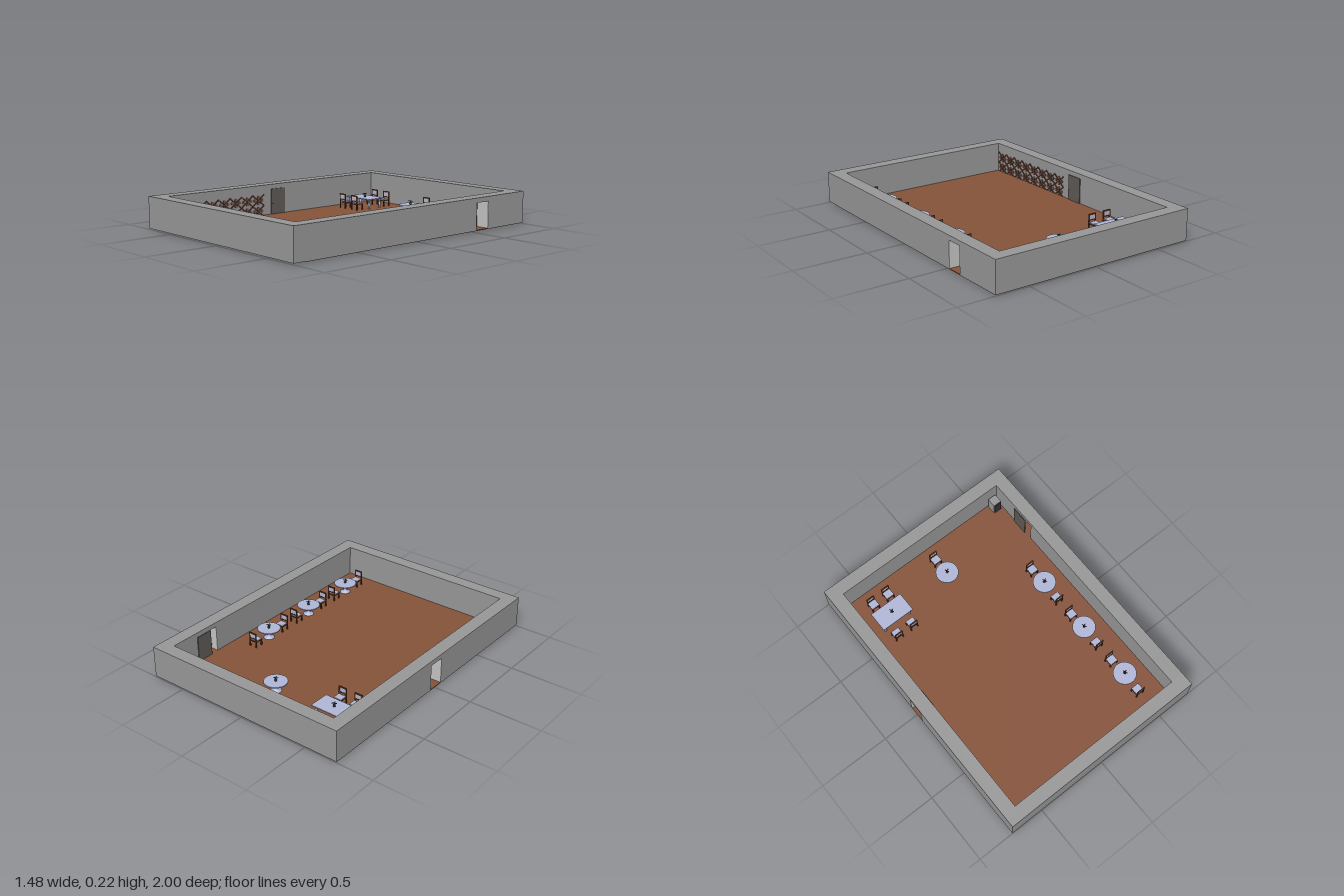
import * as THREE from 'three';

const mat = (name, color, side = THREE.FrontSide) => {
  const m = new THREE.MeshStandardMaterial({ color, side });
  m.name = name;
  return m;
};

export function createModel() {
  const root = new THREE.Group();
  root.name = 'diningRoom';

  const wallGrey = mat('wall grey', 0x979797);
  const floorBrown = mat('floor brown', 0x86533a);
  const clothBlue = mat('pale blue', 0xb0b7d6);
  const wood = mat('dark wood', 0x59341f);
  const jambGrey = mat('light grey', 0xc4c4c4);
  const doorDark = mat('door dark', 0x605a56);
  const ornament = mat('ornament dark', 0x33343c);
  const rackBrown = mat('rack brown', 0x5c3a2e);
  const bottleBrown = mat('bottle brown', 0x7a5549);

  const add = (parent, name, geo, m, x = 0, y = 0, z = 0) => {
    const mesh = new THREE.Mesh(geo, m);
    mesh.name = name;
    mesh.position.set(x, y, z);
    parent.add(mesh);
    return mesh;
  };
  // Box given by its two opposite corners
  const span = (parent, name, m, x0, x1, y0, y1, z0, z1) =>
    add(parent, name, new THREE.BoxGeometry(x1 - x0, y1 - y0, z1 - z0), m,
      (x0 + x1) / 2, (y0 + y1) / 2, (z0 + z1) / 2);

  const X = 0.74, XI = 0.647, Z = 1, ZI = 0.908;
  const Y0 = 0.009, TOP = 0.222, DOOR = 0.19;

  // Floor, stopping at the inside of the front wall
  span(root, 'floor', floorBrown, -X + 0.001, X - 0.001, 0.006, 0.011, -Z + 0.001, ZI);

  // Walls
  span(root, 'frontWall', wallGrey, -X, X, Y0, TOP, ZI, Z);
  span(root, 'backWall', wallGrey, -X, X, Y0, TOP, -Z, -ZI);

  // Side wall with a doorway between z = a and z = b
  const sideWall = (label, s, a, b) => {
    const g = new THREE.Group();
    g.name = label + 'Wall';
    const x0 = s > 0 ? XI : -X, x1 = s > 0 ? X : -XI;
    span(g, 'wallBehindDoor', wallGrey, x0, x1, Y0, TOP, -ZI, a);
    span(g, 'wallBeforeDoor', wallGrey, x0, x1, Y0, TOP, b, ZI);
    span(g, 'lintel', wallGrey, x0, x1, DOOR, TOP, a, b);
    span(g, 'jamb', jambGrey, x0, x1, Y0, DOOR, a, a + 0.002);
    span(g, 'jamb', jambGrey, x0, x1, Y0, DOOR, b - 0.002, b);
    root.add(g);
  };
  sideWall('left', 1, -0.643, -0.528);
  sideWall('right', -1, -0.055, 0.06);

  // Door leaves standing against the inner wall faces
  const door = (s, z0, z1, handleZ) => {
    const g = new THREE.Group();
    g.name = 'door';
    const x = s * (XI - 0.004);
    span(g, 'doorLeaf', doorDark, x - 0.003, x + 0.003, 0.011, DOOR, z0, z1);
    add(g, 'doorHandle', new THREE.SphereGeometry(0.005, 8, 6), ornament, x, 0.085, handleZ);
    root.add(g);
  };
  door(1, -0.705, -0.586, -0.583);
  door(-1, -0.06, 0.062, 0.05);

  // Chair facing +z, turned to face its table
  const chair = (x, z, turn) => {
    const g = new THREE.Group();
    g.name = 'chair';
    for (const sx of [-1, 1]) {
      span(g, 'frontLeg', wood, sx * 0.026 - 0.004, sx * 0.026 + 0.004, 0.006, 0.054, 0.02, 0.028);
      span(g, 'backPost', wood, sx * 0.026 - 0.004, sx * 0.026 + 0.004, 0.006, 0.115, -0.032, -0.025);
    }
    span(g, 'seatFrame', wood, -0.031, 0.031, 0.05, 0.057, -0.031, 0.029);
    span(g, 'seatCushion', clothBlue, -0.028, 0.028, 0.057, 0.062, -0.024, 0.027);
    span(g, 'backTopRail', wood, -0.03, 0.03, 0.107, 0.116, -0.033, -0.025);
    span(g, 'backLowRail', wood, -0.03, 0.03, 0.072, 0.08, -0.032, -0.025);
    span(g, 'backPanel', clothBlue, -0.022, 0.022, 0.08, 0.107, -0.031, -0.026);
    g.position.set(x, 0, z);
    g.rotation.y = turn;
    root.add(g);
  };

  // Small vase with a cross of four leaves
  const centrepiece = (g, y) => {
    const profile = [[0, 0], [0.007, 0], [0.009, 0.008], [0.004, 0.018], [0.006, 0.024], [0, 0.024]];
    add(g, 'vase', new THREE.LatheGeometry(profile.map(p => new THREE.Vector2(...p)), 10), ornament, 0, y, 0);
    for (const r of [0.4, 0.4 + Math.PI / 2]) {
      add(g, 'leaves', new THREE.BoxGeometry(0.032, 0.003, 0.005), ornament, 0, y + 0.024, 0).rotation.y = r;
    }
  };

  // Round pedestal table
  const roundTable = (x, z) => {
    const g = new THREE.Group();
    g.name = 'roundTable';
    const foot = [[0, 0.006], [0.036, 0.006], [0.036, 0.014], [0.014, 0.022], [0.009, 0.035],
      [0.013, 0.05], [0.008, 0.062], [0.022, 0.076], [0, 0.076]];
    add(g, 'pedestal', new THREE.LatheGeometry(foot.map(p => new THREE.Vector2(...p)), 16), clothBlue);
    add(g, 'tableTop', new THREE.CylinderGeometry(0.078, 0.078, 0.007, 28), clothBlue, 0, 0.079, 0);
    centrepiece(g, 0.0825);
    g.position.set(x, 0, z);
    root.add(g);
  };

  // Rectangular table with turned legs
  const longTable = new THREE.Group();
  longTable.name = 'rectangularTable';
  span(longTable, 'tableTop', clothBlue, -0.121, 0.121, 0.077, 0.084, -0.072, 0.072);
  const leg = [[0, 0.006], [0.011, 0.006], [0.006, 0.02], [0.01, 0.045], [0.006, 0.06], [0.012, 0.077]];
  for (const sx of [-1, 1]) for (const sz of [-1, 1]) {
    add(longTable, 'tableLeg', new THREE.LatheGeometry(leg.map(p => new THREE.Vector2(...p)), 10),
      clothBlue, sx * 0.1, 0, sz * 0.052);
  }
  centrepiece(longTable, 0.084);
  longTable.position.set(-0.449, 0, -0.657);
  root.add(longTable);
  for (const x of [-0.51, -0.388]) {
    chair(x, -0.788, 0);
    chair(x, -0.524, Math.PI);
  }

  // Round tables and their chairs
  roundTable(0.018, -0.657);
  chair(0.02, -0.788, 0);
  for (const z of [-0.188, 0.23, 0.648]) {
    roundTable(0.491, z);
    chair(0.491, z - 0.131, 0);
    chair(0.491, z + 0.131, Math.PI);
  }

  // Grey cabinet in the back corner
  span(root, 'cornerCabinet', wallGrey, 0.568, 0.629, 0.008, 0.12, -0.9, -0.836);
  span(root, 'cabinetFront', ornament, 0.573, 0.624, 0.02, 0.114, -0.836, -0.83);

  // Crossed-slat bottle rack along the right wall
  const rack = new THREE.Group();
  rack.name = 'bottleRack';
  const cells = 8, z0 = 0.125, w = 0.097, h = 0.076;
  const slat = new THREE.BoxGeometry(0.018, 0.008, Math.hypot(w, h));
  const bottle = new THREE.CylinderGeometry(0.011, 0.011, 0.014, 10).rotateZ(Math.PI / 2);
  for (let i = 0; i < cells; i++) for (let row = 0; row < 2; row++) {
    const z = z0 + (i + 0.5) * w, y = 0.004 + (row + 0.5) * h;
    for (const s of [-1, 1]) {
      add(rack, 'slat', slat, rackBrown, -0.65, y, z).rotation.x = s * Math.atan2(h, w);
      add(rack, 'bottle', bottle, bottleBrown, -0.648, y, z + s * w * 0.32);
      add(rack, 'bottle', bottle, bottleBrown, -0.648, y + s * h * 0.28, z);
    }
  }
  root.add(rack);

  return root;
}
